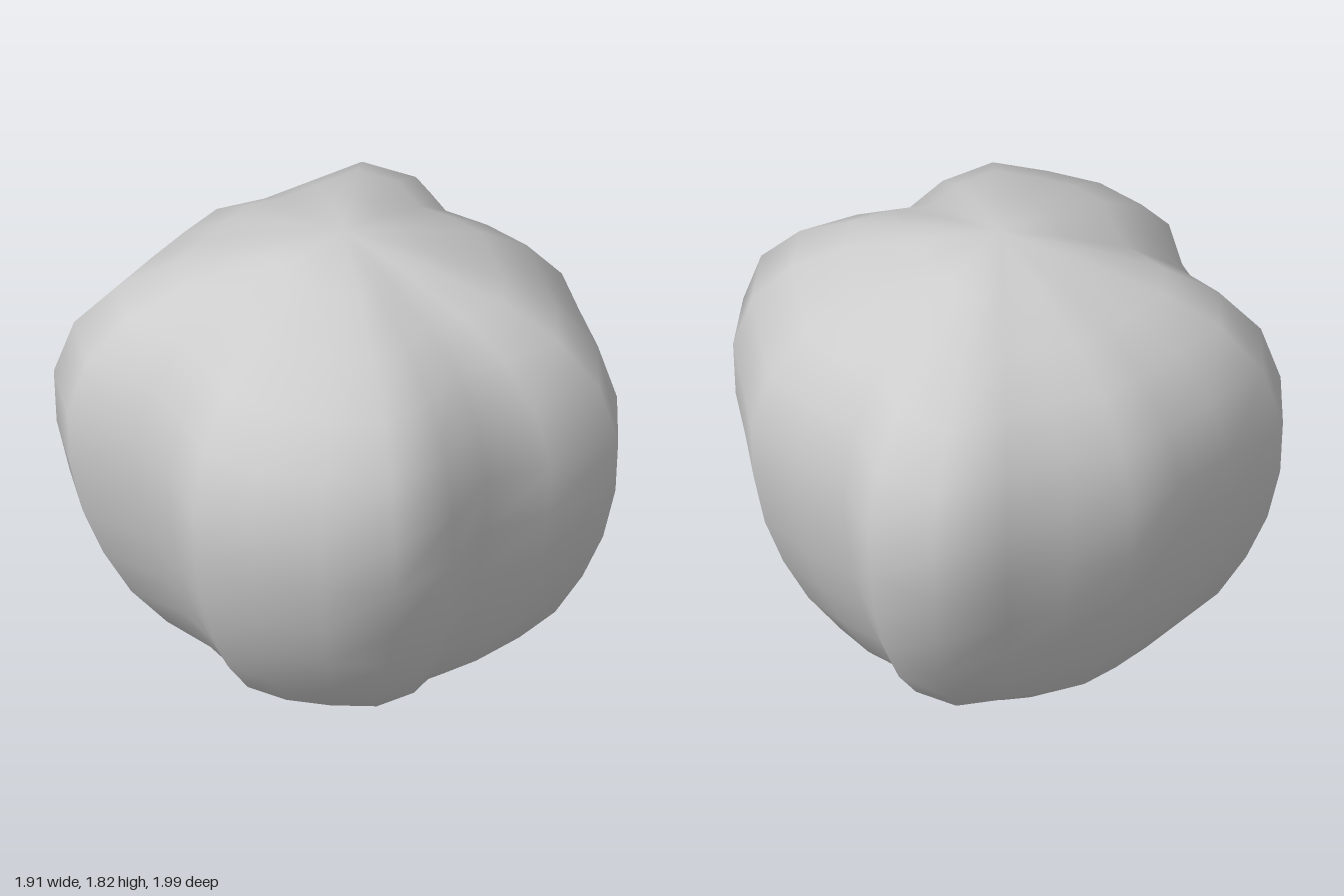
import * as THREE from 'three';

// Lobe radii every 15 degrees, from +x towards +z
const LOBES = [0.90, 0.96, 1.02, 0.88, 0.77, 0.89, 0.99, 0.95, 0.95, 0.93, 0.81, 0.81,
  0.985, 1.02, 0.91, 0.87, 0.88, 0.83, 0.89, 1.035, 0.97, 0.80, 0.845, 0.91];

// Side profile from bottom to top: radius factor, height, amount of lobe dent
const PROFILE = [[0.1, 0.03, 0.1], [0.25, 0.005, 0.1], [0.46, 0.045, 0.35], [0.64, 0.18, 0.2],
  [0.77, 0.36, 0], [0.87, 0.54, 0], [0.945, 0.73, 0], [0.99, 0.94, 0], [1, 1.155, 0],
  [0.93, 1.37, 0], [0.78, 1.535, 0], [0.58, 1.65, 0], [0.3, 1.745, 0]];

const CENTRE_X = 0.03;

function lobedBody() {
  const n = LOBES.length;
  const positions = [];
  const index = [];
  for (const [factor, y, dent] of PROFILE) {
    LOBES.forEach((radius, i) => {
      const a = (i / n) * Math.PI * 2;
      const r = radius * factor;
      // lobes lift slightly underneath
      const lift = Math.max(0, radius - 0.83) * dent;
      positions.push(CENTRE_X + Math.cos(a) * r, y + lift, Math.sin(a) * r);
    });
  }
  const bottom = positions.length / 3;
  const top = bottom + 1;
  positions.push(CENTRE_X - 0.01, 0, 0, CENTRE_X, 1.82, 0);

  const last = (PROFILE.length - 1) * n;
  for (let i = 0; i < n; i++) {
    const j = (i + 1) % n;
    for (let row = 0; row < last; row += n) {
      const a = row + i, b = row + j;
      index.push(a, a + n, b, b, a + n, b + n);
    }
    index.push(bottom, i, j, top, last + j, last + i);
  }
  const geometry = new THREE.BufferGeometry();
  geometry.setAttribute('position', new THREE.Float32BufferAttribute(positions, 3));
  geometry.setIndex(index);
  geometry.computeVertexNormals();
  return geometry;
}

export function createModel() {
  const group = new THREE.Group();
  group.name = 'lobedFruit';
  const grey = new THREE.MeshStandardMaterial({ color: 0xcccccc });
  grey.name = 'light grey';
  const body = new THREE.Mesh(lobedBody(), grey);
  body.name = 'body';
  group.add(body);
  return group;
}
